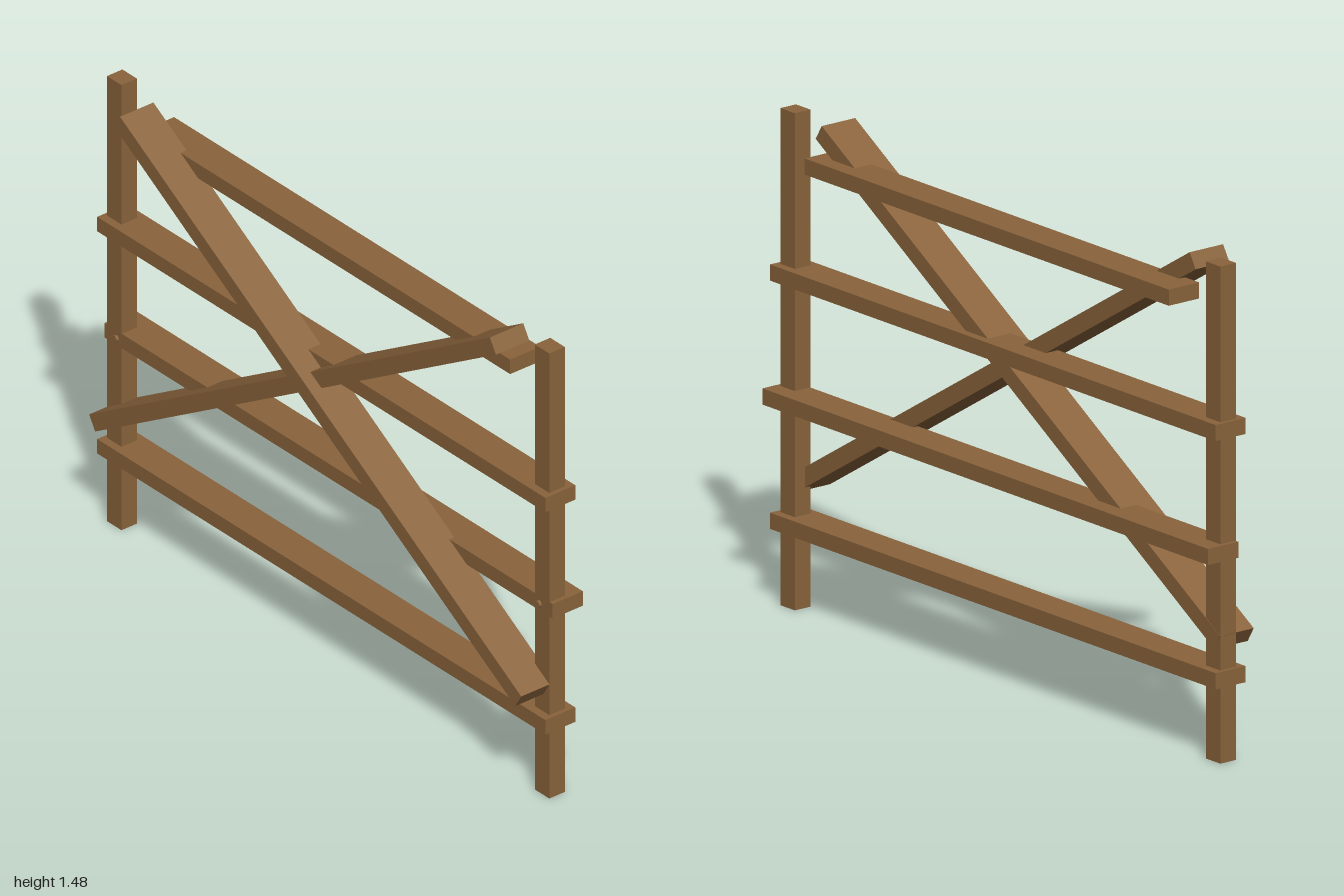
import * as THREE from 'three';

export function createModel() {
  const group = new THREE.Group();
  group.name = 'woodenFence';
  const wood = new THREE.MeshStandardMaterial({ color: 0x8a643c });
  wood.name = 'brown wood';

  // Box beam given by its extents on each axis
  function beam(name, x0, x1, y0, y1, z0, z1) {
    const mesh = new THREE.Mesh(new THREE.BoxGeometry(x1 - x0, y1 - y0, z1 - z0), wood);
    mesh.position.set((x0 + x1) / 2, (y0 + y1) / 2, (z0 + z1) / 2);
    mesh.name = name;
    group.add(mesh);
    return mesh;
  }

  // Upright posts
  beam('rightPost', -0.988, -0.923, 0, 1.478, -0.053, 0.004);
  beam('leftPost', 0.921, 0.986, 0, 1.478, -0.053, 0.004);

  // Horizontal rails: name, x0, x1, centre y, back z, front z
  const rails = [
    ['bottomRail', -1, 1, 0.253, -0.08, 0.03],
    ['lowerMiddleRail', -1, 1, 0.628, -0.108, 0.003],
    ['upperMiddleRail', -1, 1, 0.991, -0.08, 0.03],
    ['topRail', -0.819, 0.815, 1.355, -0.104, 0.007],
  ];
  for (const [name, x0, x1, y, z0, z1] of rails) beam(name, x0, x1, y - 0.024, y + 0.024, z0, z1);

  // Crossed diagonal braces, running between two end points
  function brace(name, ax, ay, bx, by, z0, z1) {
    const length = Math.hypot(bx - ax, by - ay);
    const mesh = beam(name, -length / 2, length / 2, -0.026, 0.026, z0, z1);
    mesh.position.x = (ax + bx) / 2;
    mesh.position.y = (ay + by) / 2;
    mesh.rotation.z = Math.atan2(by - ay, bx - ax);
  }
  brace('frontBrace', -0.817, 1.447, 0.973, 0.357, -0.015, 0.108);
  brace('backBrace', -0.975, 0.357, 0.813, 1.447, -0.054, 0.069);

  // Pegs fixing the lower middle rail to the posts
  for (const x of [-0.945, 0.942]) {
    const peg = new THREE.Mesh(new THREE.CylinderGeometry(0.011, 0.011, 0.05, 12), wood);
    peg.rotation.x = Math.PI / 2;
    peg.position.set(x, 0.627, -0.012);
    peg.name = 'peg';
    group.add(peg);
  }
  return group;
}
